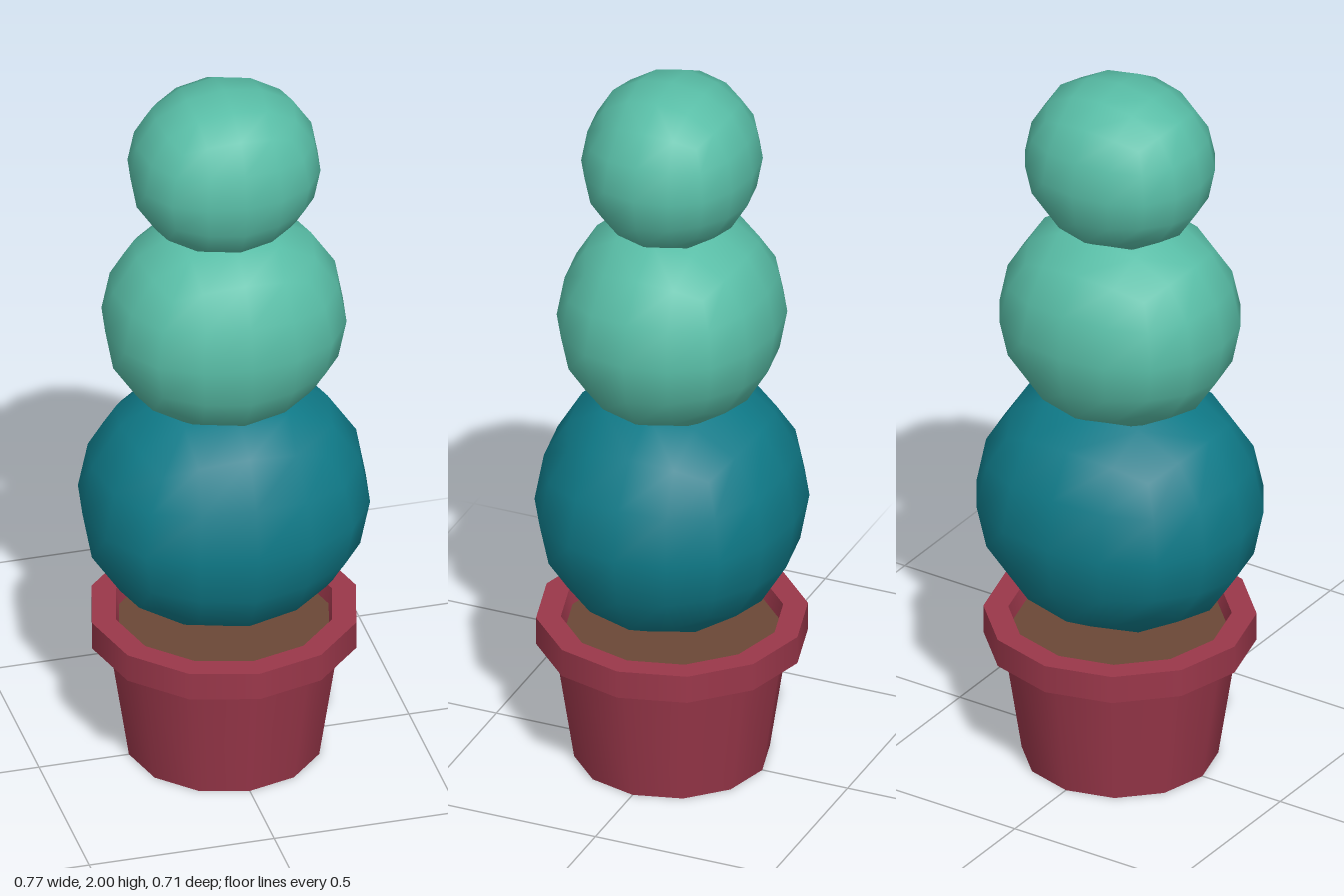
import * as THREE from 'three';
import { mergeGeometries, mergeVertices } from 'three/addons/utils/BufferGeometryUtils.js';

const mat = (name, color) => {
  const m = new THREE.MeshStandardMaterial({ color });
  m.name = name;
  return m;
};

// Rounded cube: each grid point of a 4x4x4 box moves to its subdivision-smoothed place.
// Key: box coordinates sorted large to small (in half units); value: new coordinates.
const SMOOTHED = {
  '200': [1, 0, 0],
  '210': [0.933, 0.399, 0],
  '220': [0.732, 0.732, 0],
  '211': [0.87, 0.3715, 0.3715],
  '221': [0.682, 0.682, 0.344],
  '222': [0.579, 0.579, 0.579],
};

function ballGeometry() {
  const box = new THREE.BoxGeometry(2, 2, 2, 4, 4, 4);
  box.deleteAttribute('normal');
  box.deleteAttribute('uv');
  const geo = mergeVertices(box);
  const pos = geo.attributes.position;
  for (let i = 0; i < pos.count; i++) {
    const p = [pos.getX(i), pos.getY(i), pos.getZ(i)];
    const steps = p.map((v) => Math.round(Math.abs(v) * 2));
    const sorted = [...steps].sort((a, b) => b - a);
    const target = SMOOTHED[sorted.join('')];
    const q = p.map((v, k) => Math.sign(v) * target[sorted.indexOf(steps[k])]);
    pos.setXYZ(i, ...q);
  }
  geo.computeVertexNormals();
  return geo;
}

// Twelve-sided turned shape with a sharp edge at every profile point
function turned(profile) {
  const bands = [];
  for (let i = 0; i < profile.length - 1; i++) {
    const pair = [profile[i], profile[i + 1]].map(([r, y]) => new THREE.Vector2(r, y));
    bands.push(new THREE.LatheGeometry(pair, 12));
  }
  return mergeGeometries(bands);
}

export function createModel() {
  const model = new THREE.Group();
  model.name = 'pottedTopiary';
  const add = (name, geo, material) => {
    const mesh = new THREE.Mesh(geo, material);
    mesh.name = name;
    model.add(mesh);
    return mesh;
  };

  const clay = mat('redClay', 0x9a374a);
  const soil = mat('brownSoil', 0x6b4836);
  const teal = mat('darkTeal', 0x0f7a88);
  const green = mat('lightGreen', 0x58bda6);

  // Pot with overhanging rim
  add('pot', turned([
    [0, 0], [0.257, 0], [0.308, 0.335], [0.357, 0.342],
    [0.357, 0.42], [0.292, 0.42], [0.28, 0.36],
  ]), clay);
  add('soil', turned([[0.285, 0.375], [0, 0.375]]), soil);

  // Three stacked balls of foliage, slightly wider in x
  const ball = ballGeometry();
  for (const [name, r, y, material] of [
    ['lowerBall', 0.348, 0.76, teal],
    ['middleBall', 0.292, 1.31, green],
    ['topBall', 0.23, 1.77, green],
  ]) {
    const mesh = add(name, ball, material);
    mesh.scale.set(r * 1.1, r, r);
    mesh.position.y = y;
  }
  return model;
}
